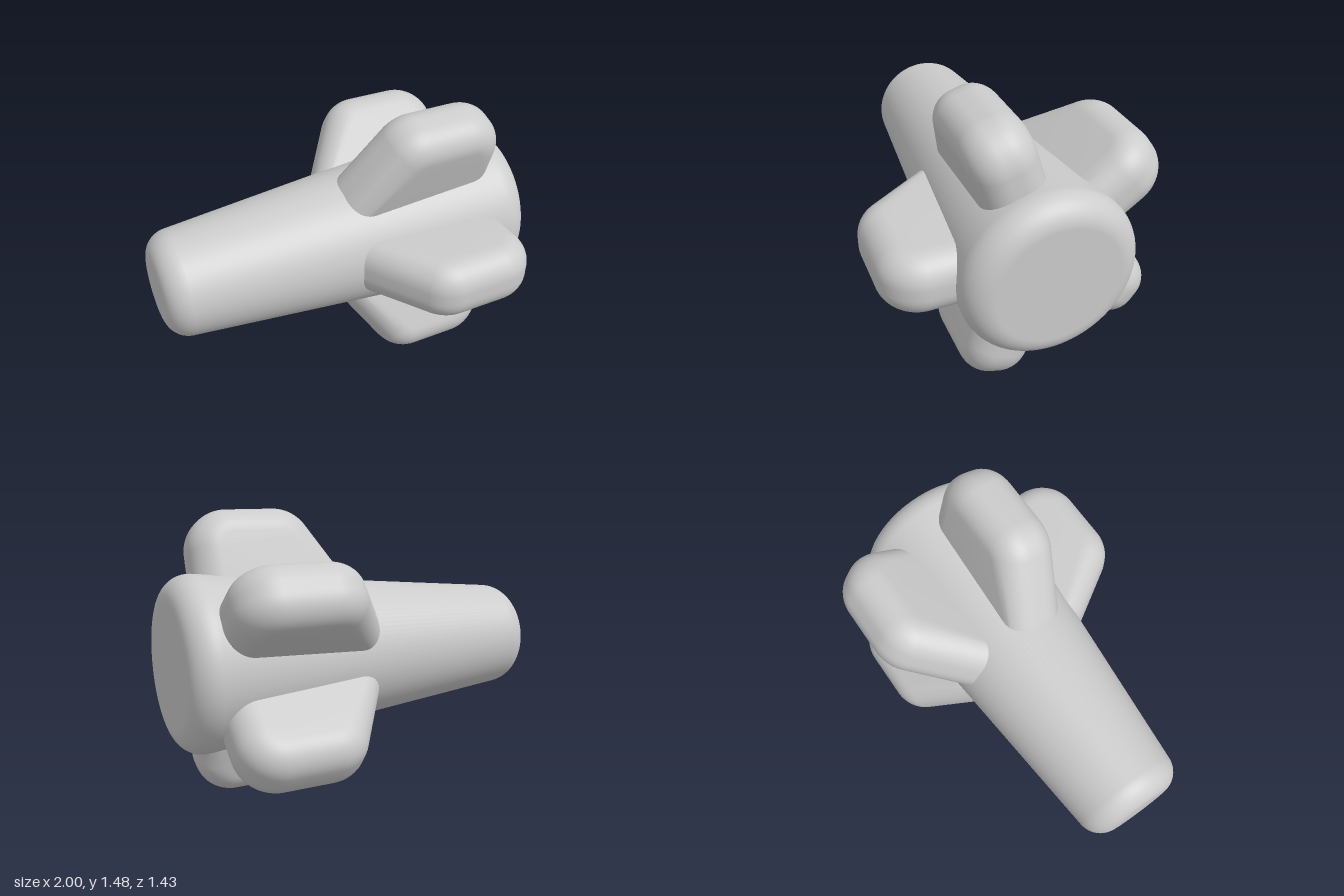
import * as THREE from 'three';
import { toCreasedNormals } from 'three/addons/utils/BufferGeometryUtils.js';

const material = new THREE.MeshStandardMaterial({ color: 0xcccccc });
const FIN_COUNT = 5;
const BEVEL = 0.14; // rounding of the fin edges
const FIN_CORE = 0.05; // flat width between the two rounded edges

// Tapered round body with soft ends, turned about the x axis
function createBody() {
  const edge = 0.13;
  const small = { x: -0.87, r: 0.155 };
  const large = { x: 0.87, r: 0.315 };
  const taper = Math.asin((large.r - small.r) / (large.x - small.x));
  const points = [new THREE.Vector2(0, -1)];
  const addArc = (c, from, to) => {
    for (let i = 0; i <= 12; i++) {
      const a = THREE.MathUtils.lerp(from, to, i / 12);
      points.push(new THREE.Vector2(c.r + edge * Math.sin(a), c.x + edge * Math.cos(a)));
    }
  };
  addArc(small, Math.PI, Math.PI / 2 + taper);
  addArc(large, Math.PI / 2 + taper, 0);
  points.push(new THREE.Vector2(0, 1));

  const geometry = new THREE.LatheGeometry(points, 96);
  geometry.rotateZ(-Math.PI / 2);
  const body = new THREE.Mesh(geometry, material);
  body.name = 'body';
  return body;
}

// Fin outline in x and radius; the bevel grows it to full size
function createFinGeometry() {
  const round = 0.07;
  const top = 0.625, right = 0.70, root = 0.2;
  const slope = Math.atan2(4, 3);
  const slantX = (r) => 0.145 + (r - 0.365) * 0.75;
  const tangent = round * Math.tan(slope / 2);

  const shape = new THREE.Shape();
  shape.moveTo(slantX(root), root);
  shape.lineTo(right, root);
  shape.absarc(right - round, top - round, round, 0, Math.PI / 2, false);
  shape.absarc(slantX(top) + tangent, top - round, round, Math.PI / 2, Math.PI / 2 + slope, false);
  shape.closePath();

  const geometry = new THREE.ExtrudeGeometry(shape, {
    depth: FIN_CORE,
    bevelThickness: BEVEL,
    bevelSize: BEVEL,
    bevelSegments: 12,
    curveSegments: 12,
  });
  geometry.translate(0, 0, -FIN_CORE / 2);
  return toCreasedNormals(geometry, 0.6);
}

export function createModel() {
  const model = new THREE.Group();
  model.name = 'finnedBody';
  model.add(createBody());

  // Evenly spaced fins, the first one facing the front
  const finGeometry = createFinGeometry();
  for (let i = 0; i < FIN_COUNT; i++) {
    const fin = new THREE.Mesh(finGeometry, material);
    fin.name = `fin${i + 1}`;
    fin.rotation.x = Math.PI / 2 + (i / FIN_COUNT) * Math.PI * 2;
    model.add(fin);
  }

  model.position.set(0, 0.742, -0.055);
  const root = new THREE.Group();
  root.name = 'model';
  root.add(model);
  return root;
}
